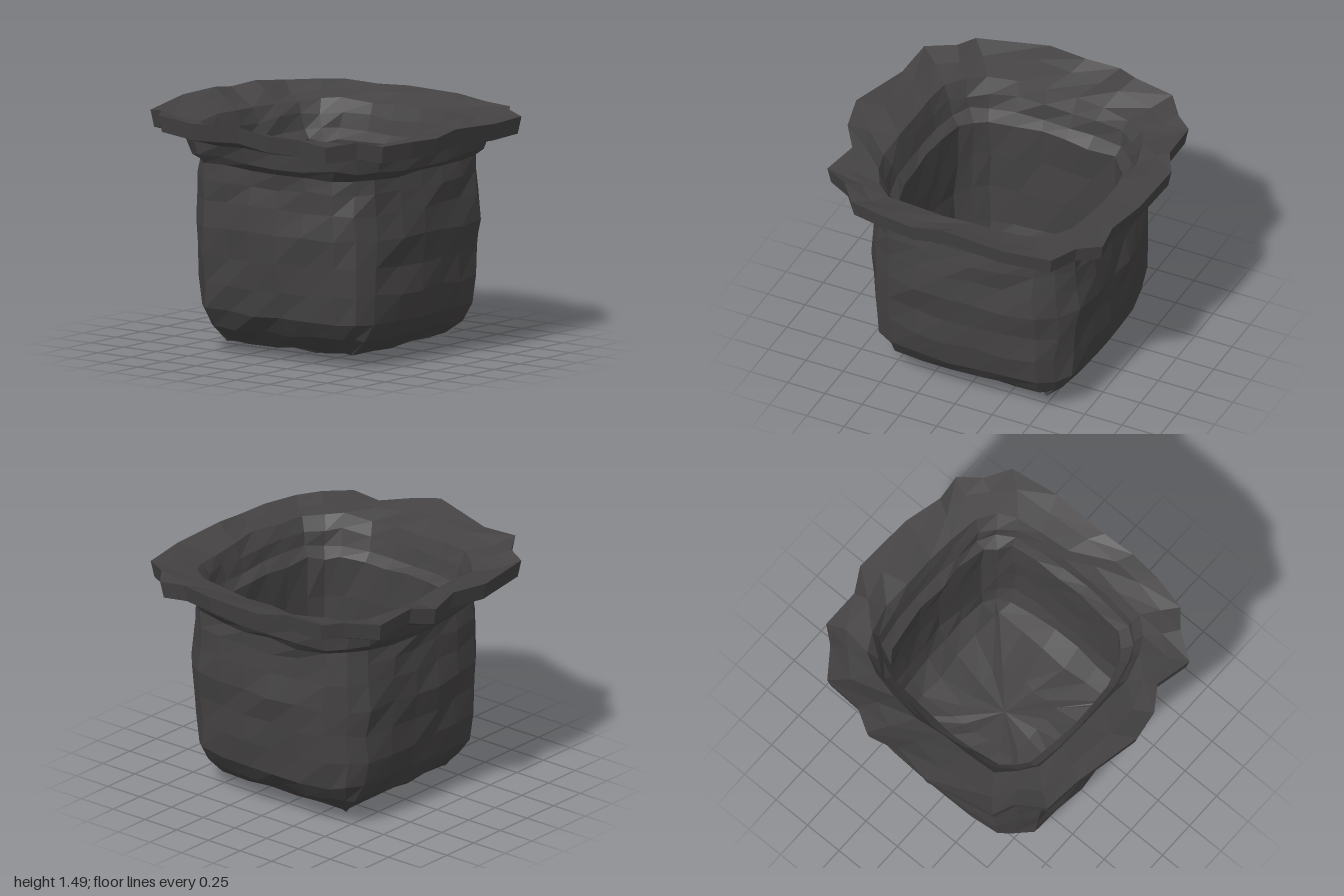
import * as THREE from 'three';

// Small repeatable noise in -1..1
function noise(a, b, c) {
  const s = Math.sin(a * 127.1 + b * 311.7 + c * 74.7) * 43758.5453;
  return 2 * (s - Math.floor(s)) - 1;
}

const SEG = 5; // panels per side; each corner adds two chamfer strips

// Chamfered square with slightly bulging sides: half width r, half length of the side f
function squareRing(y, r, f, dx = 0.025, dz = 0.035) {
  const end = r - (r - f) * 0.2, m = f + (end - f) * 0.58;
  const points = [];
  for (let side = 0; side < 4; side++) {
    const angle = (side * Math.PI) / 2, c = Math.cos(angle), s = Math.sin(angle);
    const add = (x, z) => points.push(new THREE.Vector3(x * c + z * s + dx, y, z * c - x * s + dz));
    for (let i = 0; i <= SEG; i++) {
      const t = (2 * i) / SEG - 1;
      add(f * t, r + (end - r) * t * t);
    }
    add(m, m);
  }
  return points;
}

// Wavy outline of the brim: front, right, back, left, each followed by its corner
const BRIM = [
  [-0.63, 0.89], [-0.4, 0.94], [-0.19, 0.96], [0.02, 0.94], [0.4, 0.95], [0.72, 0.9], [0.81, 0.74],
  [0.94, 0.64], [0.92, 0.47], [0.98, 0.22], [1, -0.18], [0.91, -0.34], [0.91, -0.6], [0.8, -0.69],
  [0.67, -0.87], [0.41, -0.89], [0.27, -0.97], [0.06, -0.93], [-0.2, -0.97], [-0.65, -0.87], [-0.71, -0.74],
  [-0.88, -0.63], [-0.9, -0.37], [-1, 0.06], [-0.96, 0.26], [-0.85, 0.42], [-0.9, 0.66], [-0.73, 0.77],
];

// The brim rises a little towards the back and at the tip of its right side
function brimRing(y, scale) {
  return BRIM.map(([x, z], i) => new THREE.Vector3(
    x * scale, y - 0.025 * z + 0.018 * noise(i, 3, 5) + (x < -0.98 ? 0.05 : 0), z * scale));
}

// Uneven surface; points that coincide move together
function jitter(points, amount) {
  points.forEach((p) => {
    const [a, b, c] = p.toArray().map((v) => Math.round(v * 1000));
    p.x += amount * noise(a, b, c);
    p.y += amount * noise(b, c, a);
    p.z += amount * noise(c, a, b);
  });
  return points;
}

// Joins rings into a skin, with optional end points closing the first and last ring
function skin(rings, start, end) {
  const n = rings[0].length, pos = [], index = [];
  rings.forEach((ring) => ring.forEach((p) => pos.push(p.x, p.y, p.z)));
  for (let k = 0; k < rings.length - 1; k++) {
    for (let i = 0; i < n; i++) {
      const a = k * n + i, b = k * n + ((i + 1) % n);
      index.push(a, b, b + n, a, b + n, a + n);
    }
  }
  const close = (point, base, flip) => {
    const c = pos.length / 3;
    pos.push(...point);
    for (let i = 0; i < n; i++) {
      const a = base + i, b = base + ((i + 1) % n);
      index.push(...(flip ? [c, b, a] : [c, a, b]));
    }
  };
  if (start) close(start, 0, true);
  if (end) close(end, (rings.length - 1) * n, false);
  const geometry = new THREE.BufferGeometry();
  geometry.setAttribute('position', new THREE.Float32BufferAttribute(pos, 3));
  geometry.setIndex(index);
  const flat = geometry.toNonIndexed();
  flat.computeVertexNormals();
  return flat;
}

export function createModel() {
  const group = new THREE.Group();
  group.name = 'pot';
  const material = new THREE.MeshStandardMaterial({
    color: 0x444243, flatShading: true, side: THREE.DoubleSide,
  });
  const add = (name, geometry) => {
    const mesh = new THREE.Mesh(geometry, material);
    mesh.name = name;
    group.add(mesh);
  };
  const build = (rows) => rows.map(([y, r, f]) => jitter(squareRing(y, r, f), 0.014));

  // Outer wall: chamfered underside, bulging sides, flared collar (y, half width, half side)
  const outer = build([
    [0.05, 0.27, 0.27], [0.07, 0.48, 0.46], [0.17, 0.61, 0.49], [0.28, 0.69, 0.49],
    [0.45, 0.715, 0.49], [0.62, 0.725, 0.49], [0.79, 0.745, 0.49], [0.95, 0.735, 0.49],
    [1.08, 0.725, 0.49], [1.17, 0.72, 0.49], [1.22, 0.76, 0.52], [1.31, 0.785, 0.53],
  ]);

  // Inner wall: stepped lip, straight sides, floor
  const inner = build([
    [1.385, 0.71, 0.48], [1.3, 0.665, 0.45], [1.21, 0.645, 0.44], [1.15, 0.59, 0.42],
    [0.9, 0.6, 0.42], [0.65, 0.61, 0.42], [0.4, 0.6, 0.42], [0.27, 0.56, 0.42],
    [0.18, 0.45, 0.43], [0.17, 0.22, 0.22],
  ]);

  // Brim: underside, thick edge, sloping top
  const edgeLow = brimRing(1.345, 0.98);
  const edgeHigh = brimRing(1.45, 1);
  const top = edgeHigh.map((p, i) => p.clone().lerp(inner[0][i], 0.45));
  const brim = [outer[outer.length - 1], edgeLow, edgeHigh, jitter(top, 0.015), inner[0]];

  add('outerWall', skin(outer, [-0.2, 0, 0.05]));
  add('brim', skin(brim));
  add('innerWall', skin(inner, null, [0.03, 0.17, 0.03]));
  return group;
}
